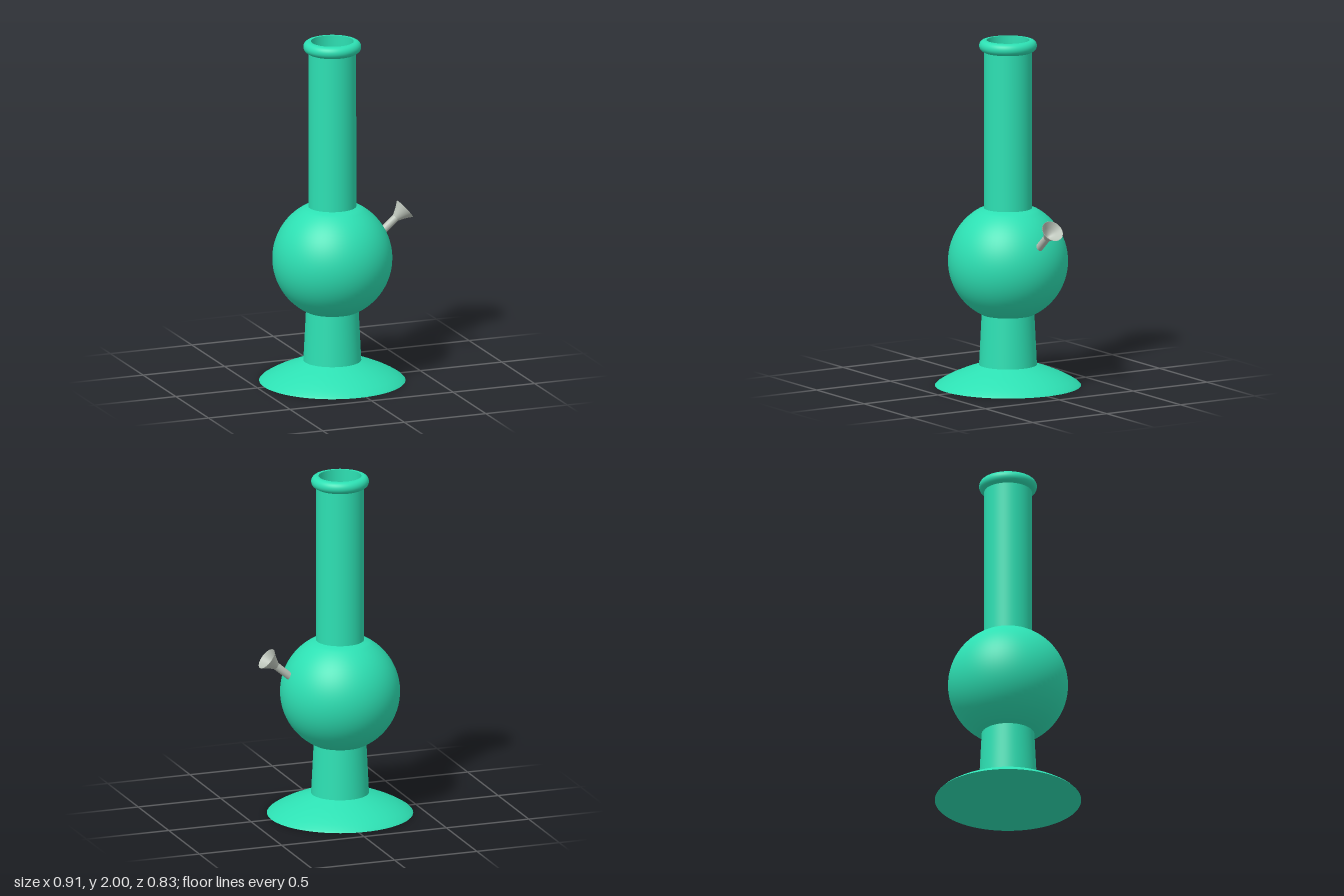
import * as THREE from 'three';

const SEGMENTS = 72;

export function createModel() {
  const model = new THREE.Group();
  const green = new THREE.MeshStandardMaterial({ color: 0x2de0b3 });
  const grey = new THREE.MeshStandardMaterial({ color: 0xbcc4ba, side: THREE.DoubleSide });

  // Revolves [radius, y] points; upward profiles face outward, downward ones inward
  function turned(name, points, material, parent) {
    const profile = points.map(([r, y]) => new THREE.Vector2(r, y));
    const mesh = new THREE.Mesh(new THREE.LatheGeometry(profile, SEGMENTS), material);
    mesh.name = name;
    parent.add(mesh);
  }

  // Points along a circular arc, angles measured from the horizontal
  function arc(cx, cy, rx, ry, from, to, steps) {
    return Array.from({ length: steps + 1 }, (_, i) => {
      const a = from + ((to - from) * i) / steps;
      return [cx + rx * Math.cos(a), cy + ry * Math.sin(a)];
    });
  }

  // Glass body, outside
  const body = new THREE.Group();
  body.name = 'body';
  body.position.x = -0.04;
  model.add(body);
  turned('baseUnderside', [[0, 0], [0.417, 0]], green, body);
  turned('base', [[0.417, 0], [0.405, 0.012], [0.37, 0.034], [0.32, 0.06], [0.25, 0.09], [0.165, 0.12]], green, body);
  turned('lowerStem', [[0.165, 0.12], [0.15, 0.42]], green, body);
  turned('bulb', [...arc(0, 0.72, 0.342, 0.342, -1.115, 1.06, 32), [0.137, 1.027]], green, body);
  turned('neck', [[0.137, 1.02], [0.136, 1.94]], green, body);
  turned('lip', [[0.135, 1.93], ...arc(0.134, 1.967, 0.031, 0.033, -1.3, Math.PI / 2, 12), [0.122, 2]], green, body);

  // Hollow inside
  turned('neckInside', [[0.122, 2], [0.122, 1.02]], green, body);
  turned('bulbInside', [[0.122, 1.03], ...arc(0, 0.72, 0.328, 0.328, 1.18, -1.12, 28)], green, body);
  turned('lowerStemInside', [[0.142, 0.43], [0.152, 0.1]], green, body);
  turned('insideFloor', [[0.152, 0.1], [0, 0.1]], green, body);

  // Slanted side tube; its local y axis runs up to the bowl rim
  const sideTube = new THREE.Group();
  sideTube.name = 'sideTube';
  sideTube.position.set(0.41, 0.962, -0.012);
  sideTube.rotation.z = -0.87;
  model.add(sideTube);
  turned('downTube', [[0.022, -0.74], [0.022, -0.07]], grey, sideTube);
  turned('bowl', [[0.022, -0.075], [0.026, -0.066], [0.045, -0.03], [0.065, 0]], grey, sideTube);
  turned('bowlInside', [[0.065, 0], [0.062, 0], [0.04, -0.032], [0.014, -0.062], [0, -0.064]], grey, sideTube);

  return model;
}
